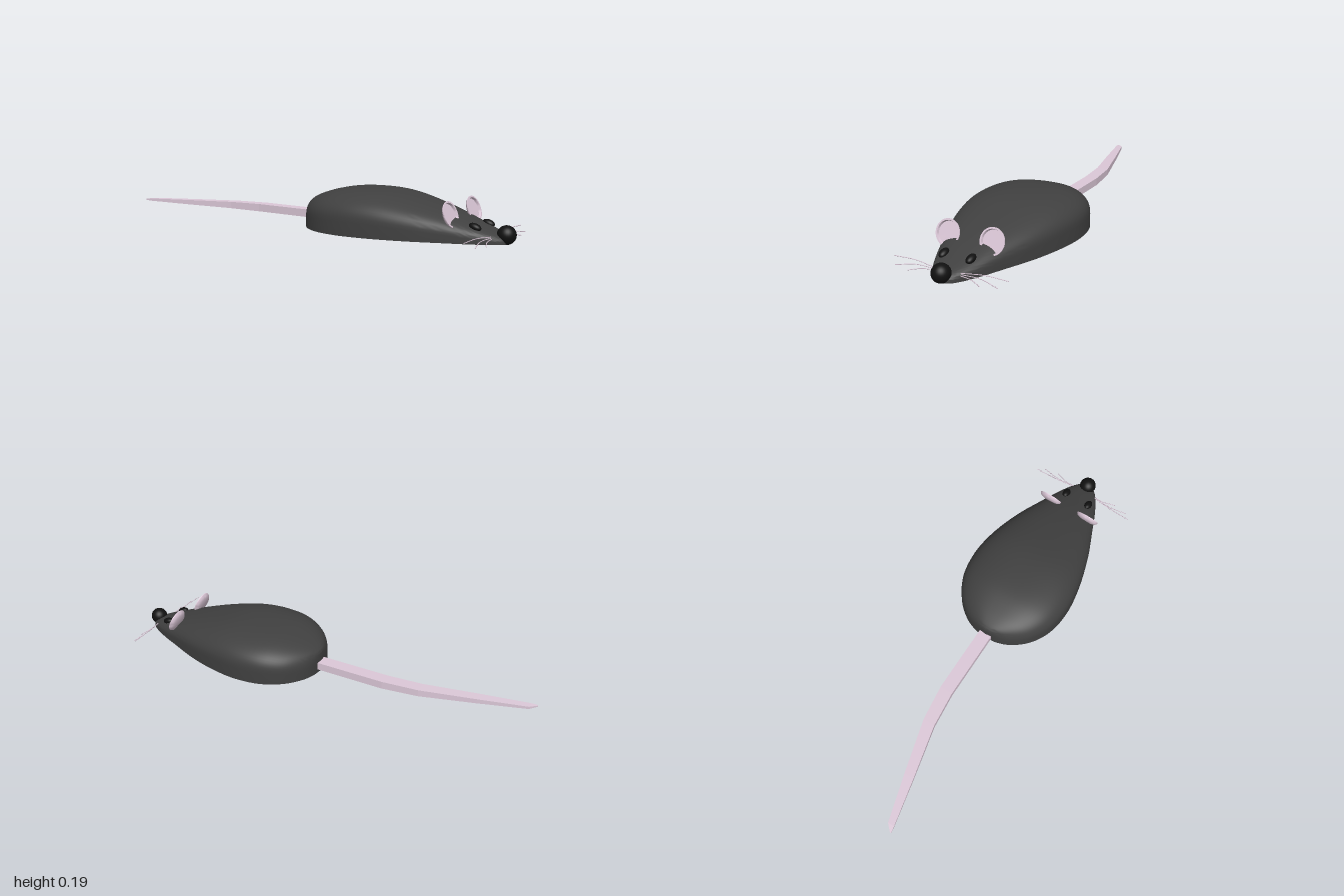
import * as THREE from 'three';
import { toCreasedNormals } from 'three/addons/utils/BufferGeometryUtils.js';

const V = (x, y, z) => new THREE.Vector3(x, y, z);

// Closed skin through rings of equal length, ordered by growing z,
// each ring running clockwise as seen from +z.
function loft(rings) {
  const n = rings[0].length, index = [];
  for (let i = 0; i < rings.length - 1; i++) {
    for (let j = 0; j < n; j++) {
      const k = (j + 1) % n;
      const a = i * n + j, b = i * n + k, c = a + n, d = b + n;
      index.push(a, c, b, b, c, d);
    }
  }
  const last = (rings.length - 1) * n;
  for (let j = 1; j < n - 1; j++) {
    index.push(0, j, j + 1, last, last + j + 1, last + j);
  }
  const geo = new THREE.BufferGeometry().setFromPoints(rings.flat());
  geo.setIndex(index);
  geo.computeVertexNormals();
  return geo;
}

// Body section: flat bottom, short upright wall, then a squarish dome
function bodyRing({ x: w, y: top, z }) {
  const base = 0.005, wall = base + 0.33 * (top - base), steps = 32, e = 2 / 2.5;
  const ring = [V(-w, base, z)];
  for (let i = 0; i <= steps; i++) {
    const a = Math.PI * (1 - i / steps), c = Math.cos(a), s = Math.max(0, Math.sin(a));
    ring.push(V(w * Math.sign(c) * Math.abs(c) ** e, wall + (top - wall) * s ** e, z));
  }
  ring.push(V(w, base, z));
  return ring;
}

export function createModel() {
  const model = new THREE.Group();
  const fur = new THREE.MeshStandardMaterial({ color: 0x404040 });
  const black = new THREE.MeshStandardMaterial({ color: 0x111111 });
  const pink = new THREE.MeshStandardMaterial({ color: 0xdcc8d8 });
  const flatPink = new THREE.MeshStandardMaterial({ color: 0xdcc8d8, flatShading: true });

  const add = (name, geo, mat, parent = model) => {
    const mesh = new THREE.Mesh(geo, mat);
    mesh.name = name;
    parent.add(mesh);
    return mesh;
  };

  // Body: half width, height and z along the back
  const spine = new THREE.CatmullRomCurve3([
    V(0, 0.1, 0), V(0.06, 0.113, 0.008), V(0.12, 0.13, 0.032), V(0.195, 0.157, 0.095),
    V(0.247, 0.182, 0.19), V(0.265, 0.19, 0.31), V(0.252, 0.184, 0.44), V(0.21, 0.15, 0.6),
    V(0.15, 0.107, 0.75), V(0.108, 0.073, 0.85), V(0.065, 0.045, 0.93),
    V(0.035, 0.03, 0.963), V(0, 0.022, 0.975),
  ]);
  add('body', toCreasedNormals(loft(spine.getPoints(60).map(bodyRing)), 0.8), fur);

  // Tail: flat four-sided strip, [x, half width, half height, z]
  const tail = [
    [-0.153, 0.003, 0.003, -1], [-0.135, 0.016, 0.006, -0.97], [-0.08, 0.024, 0.011, -0.75],
    [-0.018, 0.029, 0.016, -0.5], [0, 0.031, 0.018, -0.33], [0, 0.031, 0.018, 0.03],
  ];
  add('tail', loft(tail.map(([x, w, h, z]) => [
    V(x - w, 0.04 - h, z), V(x - w, 0.04 + h, z), V(x + w, 0.04 + h, z), V(x + w, 0.04 - h, z),
  ])), flatPink);

  // Nose
  add('nose', new THREE.SphereGeometry(0.04, 32, 20), black).position.set(0, 0.04, 0.96);

  // Shallow ear cup with a raised rim, opening towards +z
  const earProfile = [
    [0, -0.008], [0.035, -0.007], [0.05, -0.002], [0.057, 0.006], [0.057, 0.01],
    [0.05, 0.01], [0.047, 0.001], [0, 0],
  ].map(([x, y]) => new THREE.Vector2(x, y));
  const earGeo = toCreasedNormals(
    new THREE.LatheGeometry(earProfile, 40).rotateX(Math.PI / 2), 0.6);
  const eyeGeo = new THREE.SphereGeometry(0.018, 24, 16);

  for (const [side, s] of [['left', 1], ['right', -1]]) {
    const ear = add(side + 'Ear', earGeo, pink);
    ear.position.set(s * 0.105, 0.115, 0.754);
    ear.rotation.x = -0.35;

    const eye = add(side + 'Eye', eyeGeo, black);
    eye.position.set(s * 0.063, 0.07, 0.85);
    eye.scale.set(1, 0.85, 1.55);
    eye.rotation.x = 0.3;

    // Whiskers: start, middle and tip of each
    const whiskers = new THREE.Group();
    whiskers.name = side + 'Whiskers';
    model.add(whiskers);
    [
      [[0.06, 0.036, 0.92], [0.16, 0.042, 0.905], [0.266, 0.039, 0.903]],
      [[0.06, 0.032, 0.922], [0.15, 0.03, 0.918], [0.237, 0.018, 0.937]],
      [[0.06, 0.028, 0.925], [0.115, 0.024, 0.93], [0.168, 0.014, 0.95]],
    ].forEach((pts) => {
      const path = new THREE.CatmullRomCurve3(pts.map(([x, y, z]) => V(s * x, y, z)));
      add('whisker', new THREE.TubeGeometry(path, 12, 0.0018, 6), pink, whiskers);
    });
  }
  return model;
}
